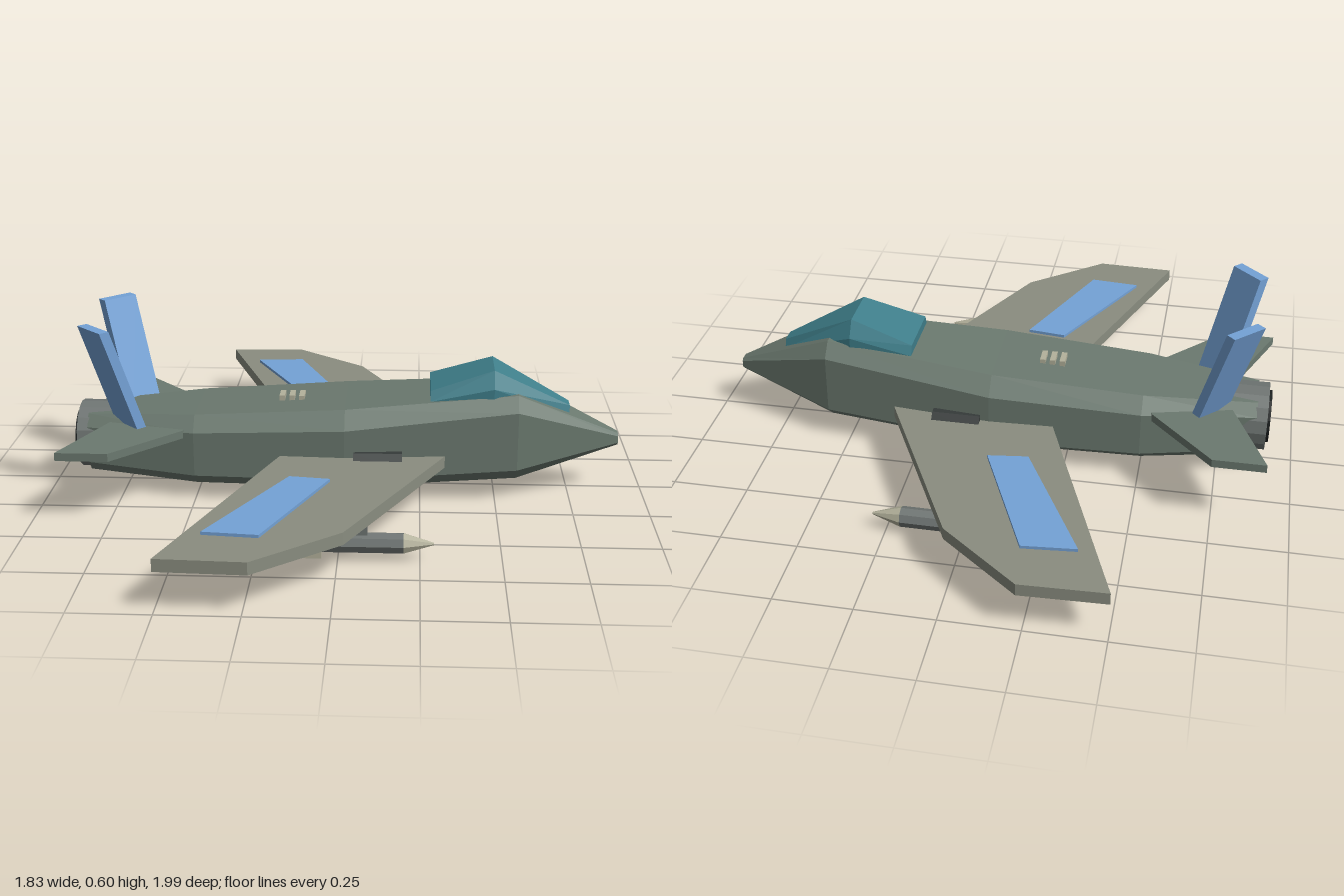
import * as THREE from 'three';

const mat = (color) => new THREE.MeshStandardMaterial({ color, flatShading: true });
const BODY = mat(0x6b796f), WING = mat(0x8a8d80), BLUE = mat(0x74a2d6), GLASS = mat(0x3f7f8b);
const DARK = mat(0x353a39), METAL = mat(0x6f7573), PALE = mat(0xb4b29c), BLACK = mat(0x1c2020);

// Closed solid through equal-length rings of [x, y, z], with faces turned outwards
function loft(rings) {
  const tris = [], n = rings[0].length, last = rings.length - 1;
  for (let r = 0; r < last; r++) {
    for (let i = 0; i < n; i++) {
      const j = (i + 1) % n, a = rings[r], b = rings[r + 1];
      tris.push([a[i], b[i], b[j]], [a[i], b[j], a[j]]);
    }
  }
  for (let i = 1; i < n - 1; i++) {
    tris.push([rings[0][0], rings[0][i], rings[0][i + 1]]);
    tris.push([rings[last][0], rings[last][i + 1], rings[last][i]]);
  }
  const o = new THREE.Vector3(...rings[0][0]);
  let volume = 0;
  for (const t of tris) {
    const [a, b, c] = t.map((p) => new THREE.Vector3(...p).sub(o));
    volume += a.dot(b.cross(c));
  }
  if (volume < 0) tris.forEach((t) => t.reverse());
  const g = new THREE.BufferGeometry();
  g.setAttribute('position', new THREE.Float32BufferAttribute(tris.flat(2), 3));
  g.computeVertexNormals();
  return g;
}

// Flat plate from an [x, z] outline between two heights; s mirrors it in z
const plate = (outline, y0, y1, s) =>
  loft([y0, y1].map((y) => outline.map(([x, z]) => [x, y, z * s])));

// Cylinder or cone lying along x, from x0 (radius r0) to x1 (radius r1)
function barrel(x0, x1, r0, r1, sides, turn = 0) {
  const g = new THREE.CylinderGeometry(r1, r0, x1 - x0, sides);
  return g.rotateY(turn).rotateZ(-Math.PI / 2).translate((x0 + x1) / 2, 0, 0);
}

export function createModel() {
  const model = new THREE.Group();
  model.name = 'jetAircraft';
  const add = (name, geometry, material, parent = model) => {
    const mesh = new THREE.Mesh(geometry, material);
    mesh.name = name;
    parent.add(mesh);
    return mesh;
  };

  // Fuselage: eight-sided sections
  // x, top y, shoulder y, chine y, bottom y, side half-width, top half-width, bottom half-width
  const sections = [
    [-0.87, 0.265, 0.225, 0.10, 0.065, 0.10, 0.07, 0.07],
    [-0.50, 0.29, 0.24, 0.09, 0.047, 0.18, 0.135, 0.13],
    [0.0, 0.32, 0.262, 0.09, 0.045, 0.20, 0.15, 0.145],
    [0.57, 0.362, 0.315, 0.115, 0.07, 0.148, 0.105, 0.10],
    [0.915, 0.203, 0.195, 0.172, 0.163, 0.022, 0.013, 0.013],
  ];
  add('fuselage', loft(sections.map(([x, t, s, c, b, w, wt, wb]) => [
    [x, t, wt], [x, s, w], [x, c, w], [x, b, wb],
    [x, b, -wb], [x, c, -w], [x, s, -w], [x, t, -wt],
  ])), BODY);

  // Canopy: x, base y, middle y, top y, wide half-width, top half-width
  const canopy = [
    [0.28, 0.3, 0.34, 0.373, 0.115, 0.1],
    [0.49, 0.31, 0.385, 0.44, 0.115, 0.08],
    [0.747, 0.24, 0.275, 0.305, 0.034, 0.025],
  ];
  add('canopy', loft(canopy.map(([x, b, m, t, w, wt]) => [
    [x, b, w], [x, m, w], [x, t, wt], [x, t, -wt], [x, m, -w], [x, b, -w],
  ])), GLASS);

  // Engine nozzle with dark outlet
  add('nozzle', barrel(-0.905, -0.735, 0.114, 0.114, 16), METAL).position.y = 0.172;
  add('nozzleOutlet', barrel(-0.915, -0.88, 0.088, 0.088, 16), BLACK).position.y = 0.172;

  // Vent bars on the spine
  for (let i = 0; i < 3; i++) {
    add('ventBar', new THREE.BoxGeometry(0.018, 0.02, 0.06), PALE)
      .position.set(-0.217 + i * 0.033, 0.315, 0);
  }

  for (const s of [1, -1]) {
    const side = new THREE.Group();
    side.name = s > 0 ? 'leftZSide' : 'rightZSide';
    model.add(side);

    // Main wing with raised coloured panel
    add('wing', plate([[0.365, 0.1], [0.025, 0.785], [-0.23, 0.995], [-0.5, 0.985], [-0.18, 0.1]],
      0.13, 0.17, s), WING, side);
    add('wingPanel', plate([[-0.385, 0.82], [-0.215, 0.835], [-0.035, 0.405], [-0.165, 0.388]],
      0.165, 0.18, s), BLUE, side);

    // Tailplane
    add('tailplane', plate([[-0.91, 0.395], [-0.74, 0.395], [-0.535, 0.175], [-0.5, 0.1], [-0.79, 0.1]],
      0.22, 0.247, s), BODY, side);

    // Tail fin: slab set at 45 degrees, leaning back and outwards
    const foot = [[-0.775, 0.257], [-0.865, 0.168], [-0.84, 0.143], [-0.75, 0.232]];
    add('tailFin', loft([0.2, 0.6].map((y) => {
      const d = (0.6 - y) * 0.25;
      return foot.map(([x, z]) => [x + d, y, (z - d) * s]);
    })), BLUE, side);

    // Air intake beside the belly
    add('intake', barrel(0.03, 0.19, 0.081, 0.081, 8, Math.PI / 8), DARK, side)
      .position.set(0, 0.115, 0.175 * s);

    // Missile under the wing
    const missile = new THREE.Group();
    missile.name = 'missile';
    missile.position.set(0, 0.058, 0.61 * s);
    side.add(missile);
    add('missileBody', barrel(-0.155, 0.2, 0.033, 0.033, 8), METAL, missile);
    add('missileNose', barrel(0.2, 0.292, 0.033, 0.004, 8), PALE, missile);
    add('missileFinUpright', new THREE.BoxGeometry(0.08, 0.108, 0.01), PALE, missile).position.x = -0.09;
    add('missileFinFlat', new THREE.BoxGeometry(0.08, 0.01, 0.108), PALE, missile).position.x = -0.09;
    add('pylon', new THREE.BoxGeometry(0.12, 0.06, 0.022), METAL, missile).position.set(0.03, 0.05, 0);
  }
  return model;
}
